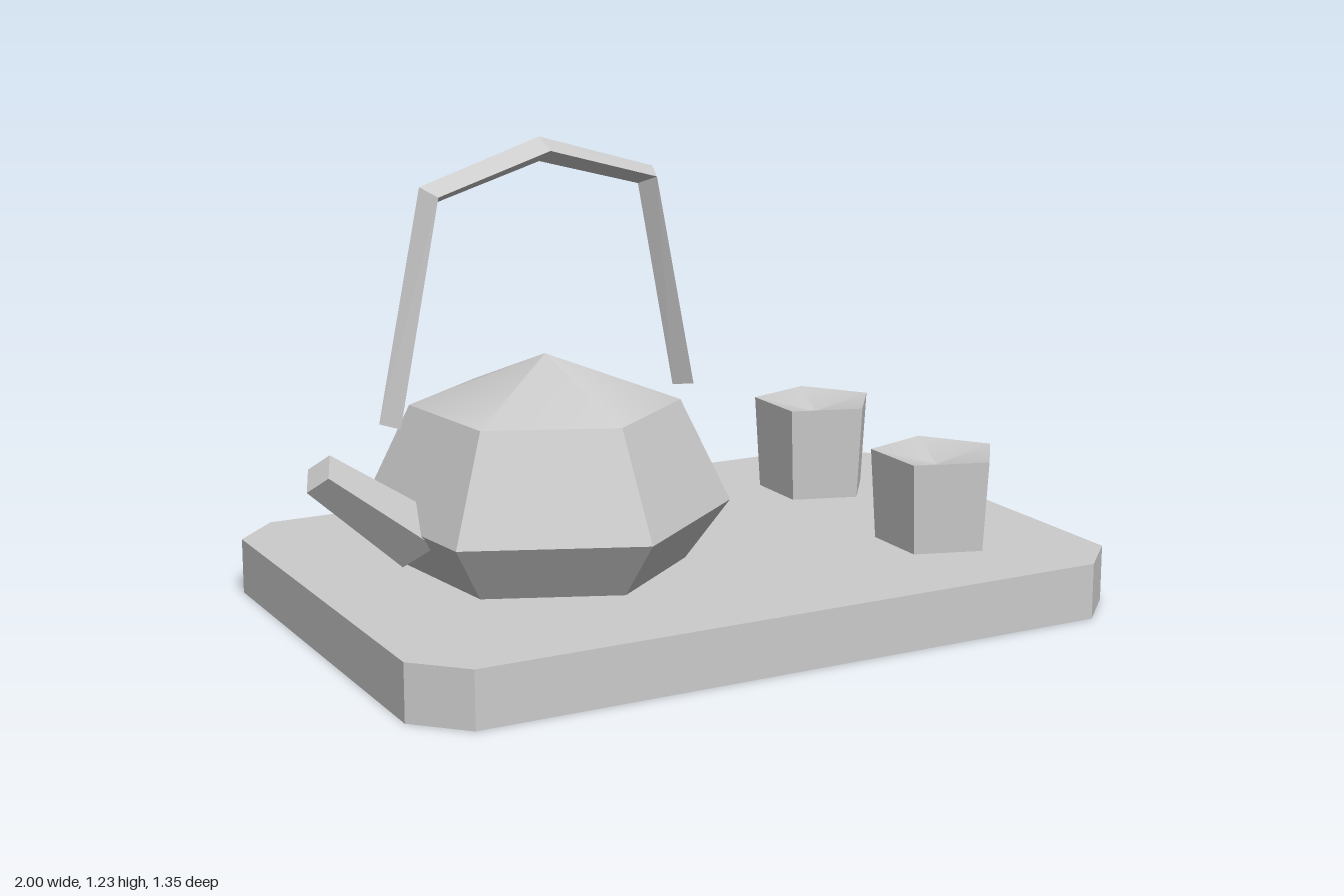
import * as THREE from 'three';

const flat = new THREE.MeshStandardMaterial({ color: 0xcccccc, flatShading: true, side: THREE.DoubleSide });
const smooth = new THREE.MeshStandardMaterial({ color: 0xcccccc, side: THREE.DoubleSide });

function addMesh(parent, name, geometry, material = flat) {
  const mesh = new THREE.Mesh(geometry, material);
  mesh.name = name;
  parent.add(mesh);
  return mesh;
}

// Faceted turned form from [radius, height] pairs
function turned(profile, sides, start = 0) {
  return new THREE.LatheGeometry(profile.map(([r, y]) => new THREE.Vector2(r, y)), sides, start);
}

// Skin over equal-sized rings of Vector3, with optional end caps
function loft(rings, capped) {
  const n = rings[0].length;
  const index = [];
  for (let i = 0; i < rings.length - 1; i++) {
    for (let j = 0; j < n; j++) {
      const a = i * n + j, b = i * n + (j + 1) % n;
      index.push(a, b, b + n, a, b + n, a + n);
    }
  }
  if (capped) {
    const last = (rings.length - 1) * n;
    for (let j = 1; j < n - 1; j++) index.push(0, j + 1, j, last, last + j, last + j + 1);
  }
  const geometry = new THREE.BufferGeometry().setFromPoints(rings.flat());
  geometry.setIndex(index);
  geometry.computeVertexNormals();
  return geometry;
}

// Shallow tray with clipped corners, open underneath
function createTray() {
  const tray = new THREE.Group();
  tray.name = 'tray';
  const x = 0.975, z = 0.675, c = 0.12, height = 0.145;
  const outline = [
    [x - c, z], [x, z - c], [x, c - z], [x - c, -z],
    [c - x, -z], [-x, c - z], [-x, z - c], [c - x, z],
  ];
  const ring = (y) => outline.map(([px, pz]) => new THREE.Vector3(px, y, pz));
  addMesh(tray, 'trayWalls', loft([ring(0), ring(height)], false));
  const shape = new THREE.Shape(outline.map(([px, pz]) => new THREE.Vector2(px, -pz)));
  const top = new THREE.ShapeGeometry(shape).rotateX(-Math.PI / 2).translate(0, height, 0);
  addMesh(tray, 'trayTop', top);
  tray.position.x = 0.025;
  return tray;
}

// Three-sided bar bent into an arch, with one edge facing forward
function handleGeometry() {
  const path = [[-0.434, 0.557], [-0.318, 1.107], [0, 1.195], [0.318, 1.107], [0.434, 0.557]]
    .map(([px, py]) => new THREE.Vector3(px, py, 0));
  const r = 0.035;
  const direction = (i) => path[i + 1].clone().sub(path[i]).normalize();
  const rings = path.map((p, i) => {
    const tangent = new THREE.Vector3();
    if (i > 0) tangent.add(direction(i - 1));
    if (i < path.length - 1) tangent.add(direction(i));
    tangent.normalize();
    const normal = new THREE.Vector3(-tangent.y, tangent.x, 0);
    return [0, 1, 2].map((k) => {
      const a = (k * Math.PI * 2) / 3;
      return p.clone().addScaledVector(normal, r * Math.sin(a))
        .add(new THREE.Vector3(0, 0, r * Math.cos(a)));
    });
  });
  // Reverse the corners so the faces look outward
  return loft(rings.map((ring) => ring.reverse()), true);
}

function createTeapot() {
  const pot = new THREE.Group();
  pot.name = 'teapot';
  addMesh(pot, 'potBody', turned([[0, 0.06], [0.288, 0.06], [0.467, 0.295], [0.34, 0.56]], 6));
  addMesh(pot, 'lid', turned([[0.34, 0.56], [0, 0.685]], 6), smooth);
  addMesh(pot, 'handle', handleGeometry());
  // Tapered four-sided spout
  const spout = addMesh(pot, 'spout', new THREE.CylinderGeometry(0.052, 0.078, 0.34, 4));
  spout.position.set(-0.505, 0.367, 0);
  spout.rotation.z = 0.916;
  pot.position.x = -0.33;
  pot.rotation.y = 0.127;
  return pot;
}

// Five-sided cup with a slightly dished top
function createCup(z, topY) {
  const cup = new THREE.Group();
  cup.name = 'cup';
  const start = Math.PI / 2;
  addMesh(cup, 'cupBody', turned([[0, -0.35], [0.148, -0.35], [0.17, 0]], 5, start));
  addMesh(cup, 'cupTop', turned([[0.17, 0], [0, -0.035]], 5, start), smooth);
  cup.position.set(0.65, topY, z);
  return cup;
}

export function createModel() {
  const model = new THREE.Group();
  model.name = 'teaSet';
  model.add(createTray(), createTeapot(), createCup(0.3, 0.383), createCup(-0.3, 0.4));
  return model;
}
